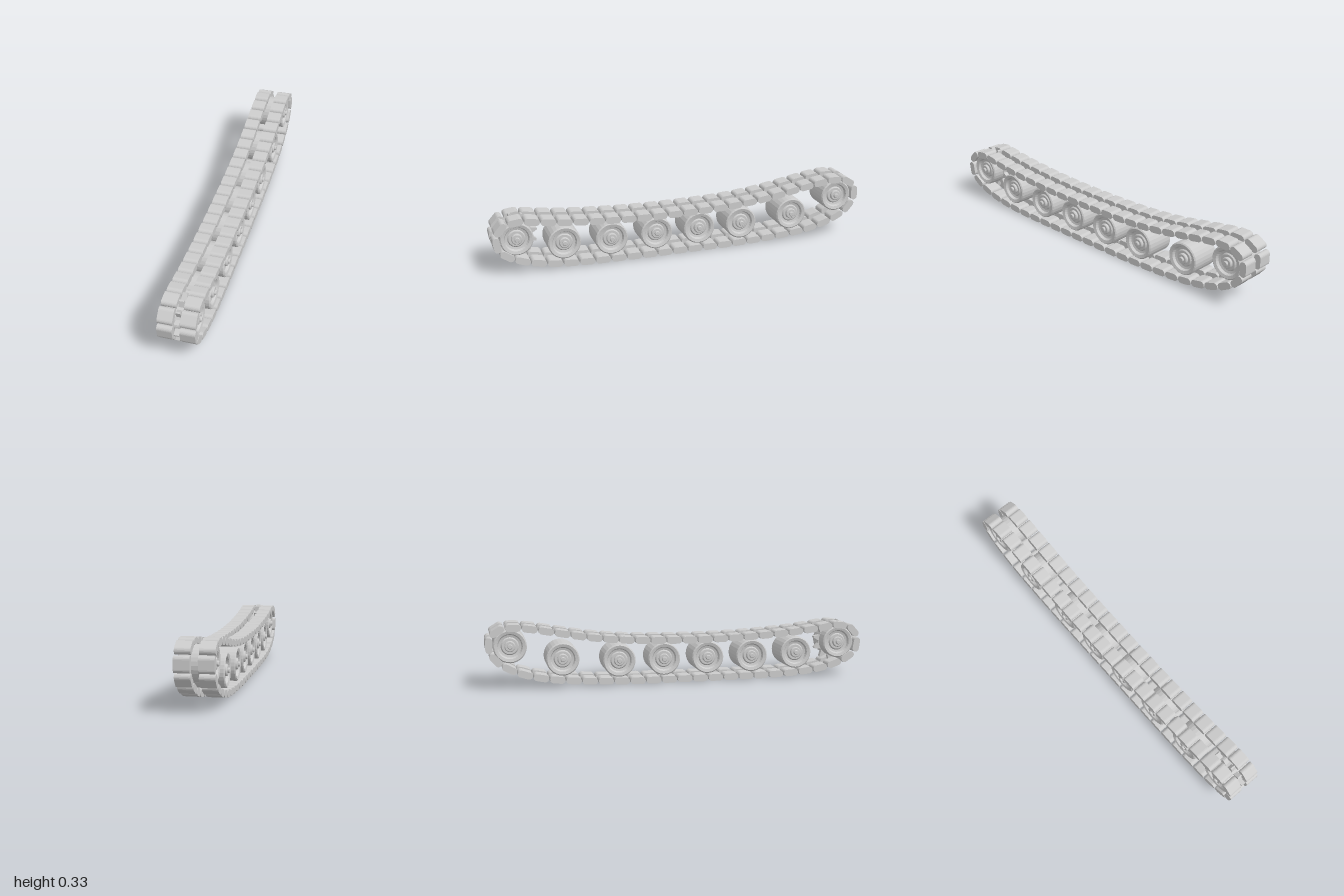
import * as THREE from 'three';

const material = new THREE.MeshStandardMaterial({ color: 0xcccccc, flatShading: true });

// Centre line of the track belt as [z, y], starting at the front
const BELT = [
  [0.982, 0.165], [0.96, 0.245], [0.88, 0.275], [0.76, 0.262], [0.645, 0.248], [0.4, 0.23], [0.2, 0.223],
  [0, 0.223], [-0.26, 0.231], [-0.47, 0.252], [-0.635, 0.28], [-0.79, 0.306], [-0.88, 0.311],
  [-0.95, 0.29], [-0.982, 0.235], [-0.957, 0.16], [-0.9, 0.113], [-0.82, 0.077], [-0.69, 0.046],
  [-0.52, 0.029], [-0.28, 0.019], [0, 0.018], [0.25, 0.018], [0.62, 0.026], [0.785, 0.047], [0.88, 0.075],
  [0.953, 0.115],
];

// Wheel centres as [z, y]; the first is the drive sprocket, the last the idler
const WHEELS = [
  [0.88, 0.182], [0.64, 0.133], [0.393, 0.125], [0.152, 0.125],
  [-0.083, 0.125], [-0.32, 0.125], [-0.612, 0.143], [-0.877, 0.218],
];

// Extrude a side-view shape across the width, centred on x = 0
function extrudeAcross(shape, width) {
  const g = new THREE.ExtrudeGeometry(shape, { depth: width, bevelEnabled: false, curveSegments: 5 });
  return g.translate(0, 0, -width / 2).rotateY(-Math.PI / 2);
}

// Pad with rounded ends
function padGeometry(length, thickness, width) {
  const r = thickness / 2, h = length / 2 - r;
  const s = new THREE.Shape();
  s.moveTo(-h, -r);
  s.lineTo(h, -r);
  s.absarc(h, 0, r, -Math.PI / 2, Math.PI / 2, false);
  s.lineTo(-h, r);
  s.absarc(-h, 0, r, Math.PI / 2, Math.PI * 1.5, false);
  return extrudeAcross(s, width);
}

// Drum with a dished face and stepped hub on both ends
function wheelGeometry() {
  const half = [
    [0, 0.09], [0.01, 0.09], [0.013, 0.087], [0.013, 0.08], [0.024, 0.08], [0.028, 0.076], [0.028, 0.066],
    [0.04, 0.066], [0.046, 0.06], [0.058, 0.063], [0.064, 0.076], [0.079, 0.08], [0.085, 0.075],
  ];
  const points = [
    ...half.map(([r, x]) => new THREE.Vector2(r, -x)),
    ...half.slice().reverse().map(([r, x]) => new THREE.Vector2(r, x)),
  ];
  return new THREE.LatheGeometry(points, 28).rotateZ(-Math.PI / 2);
}

// Toothed ring that runs in the gap between the two rows of pads
function sprocketGeometry(teeth, root, tip) {
  const s = new THREE.Shape();
  const step = (Math.PI * 2) / teeth;
  for (let i = 0; i < teeth; i++) {
    [[0, root], [0.3, root], [0.58, tip], [0.72, tip]].forEach(([f, r], k) => {
      const a = (i + f) * step;
      if (i === 0 && k === 0) s.moveTo(r * Math.cos(a), r * Math.sin(a));
      else s.lineTo(r * Math.cos(a), r * Math.sin(a));
    });
  }
  s.closePath();
  return extrudeAcross(s, 0.024);
}

export function createModel() {
  const model = new THREE.Group();
  model.name = 'trackAssembly';
  const add = (geometry, name, parent) => {
    const m = new THREE.Mesh(geometry, material);
    m.name = name;
    parent.add(m);
    return m;
  };

  // Wheels
  const wheelGeo = wheelGeometry();
  WHEELS.forEach(([z, y], i) => {
    const name = i === 0 ? 'driveWheel' : i === WHEELS.length - 1 ? 'idlerWheel' : 'roadWheel' + i;
    add(wheelGeo, name, model).position.set(0, y, z);
  });
  const [sz, sy] = WHEELS[0];
  add(sprocketGeometry(12, 0.088, 0.116), 'sprocketTeeth', model).position.set(0, sy, sz);

  // Belt of paired pads, spaced evenly along the centre line
  const curve = new THREE.CatmullRomCurve3(BELT.map(([z, y]) => new THREE.Vector3(0, y, z)), true);
  curve.arcLengthDivisions = 1000;
  const count = Math.round(curve.getLength() / 0.083);
  const pitch = curve.getLength() / count;
  const padGeo = padGeometry(pitch - 0.005, 0.036, 0.074);
  const belt = new THREE.Group();
  belt.name = 'trackBelt';
  model.add(belt);
  for (let i = 0; i < count; i++) {
    const u = i / count;
    const p = curve.getPointAt(u);
    const d = curve.getPointAt((u + 0.4 / count) % 1).sub(curve.getPointAt((u - 0.4 / count + 1) % 1));
    const link = new THREE.Group();
    link.name = 'trackLink' + i;
    link.position.copy(p);
    link.rotation.x = Math.atan2(-d.y, d.z);
    for (const side of [-1, 1]) {
      add(padGeo, side > 0 ? 'leftPad' : 'rightPad', link).position.x = side * 0.0555;
    }
    belt.add(link);
  }
  return model;
}
